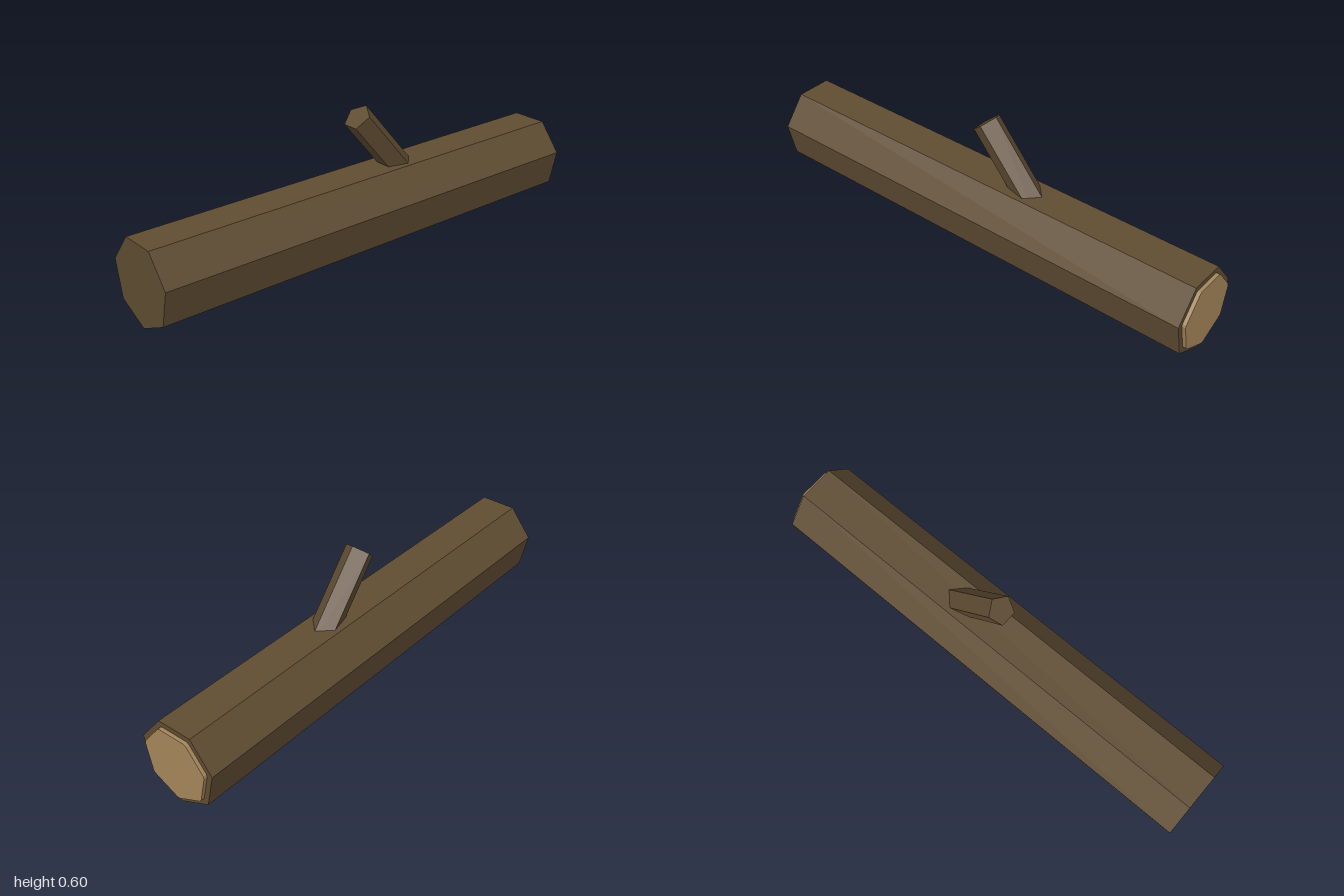
import * as THREE from 'three';

const bark = new THREE.MeshStandardMaterial({ color: 0x5f4c32 });
bark.name = 'bark';
const cutWood = new THREE.MeshStandardMaterial({ color: 0xa4865a });
cutWood.name = 'cutWood';

const LOG_R = 0.175;
const LOG_END = 0.985;
const TILT = 0.7;

function addMesh(group, name, geometry, material) {
  // Unshared vertices give every facet its own flat normal
  const flat = geometry.index ? geometry.toNonIndexed() : geometry;
  flat.computeVertexNormals();
  const mesh = new THREE.Mesh(flat, material);
  mesh.name = name;
  group.add(mesh);
  return mesh;
}

// Heptagon with one corner down and each corner slightly clipped
function clippedHeptagon(r, clip) {
  const corner = (i) => {
    const a = -Math.PI / 2 + (i * 2 * Math.PI) / 7;
    return new THREE.Vector2(Math.cos(a), Math.sin(a)).multiplyScalar(r);
  };
  const points = [];
  for (let i = 0; i < 7; i++) {
    points.push(corner(i).lerp(corner(i - 1), clip), corner(i).lerp(corner(i + 1), clip));
  }
  return new THREE.Shape(points);
}

export function createModel() {
  const group = new THREE.Group();
  group.name = 'log';

  // Seven-sided trunk lying along x, one corner down and a flat on top
  const trunk = new THREE.CylinderGeometry(LOG_R, LOG_R, 1 + LOG_END, 7);
  trunk.rotateY(-Math.PI / 2).rotateZ(Math.PI / 2);
  addMesh(group, 'trunk', trunk, bark).position.set((LOG_END - 1) / 2, LOG_R, 0);

  // Pale sawn face on the left end
  const face = new THREE.ExtrudeGeometry(clippedHeptagon(0.151, 0.045), {
    depth: 1 - LOG_END, bevelEnabled: false,
  });
  face.rotateY(Math.PI / 2);
  addMesh(group, 'sawnFace', face, cutWood).position.set(LOG_END, LOG_R + 0.001, 0);

  // Five-sided branch stub, leaning to the right with its ridge uppermost
  const length = 0.45;
  const branch = new THREE.CylinderGeometry(0.059, 0.059, length, 5);
  branch.rotateY(Math.PI / 2).translate(0, -length / 2, 0).rotateZ(TILT);
  addMesh(group, 'branchStub', branch, bark).position.set(-0.015, 0.564, 0);

  return group;
}
